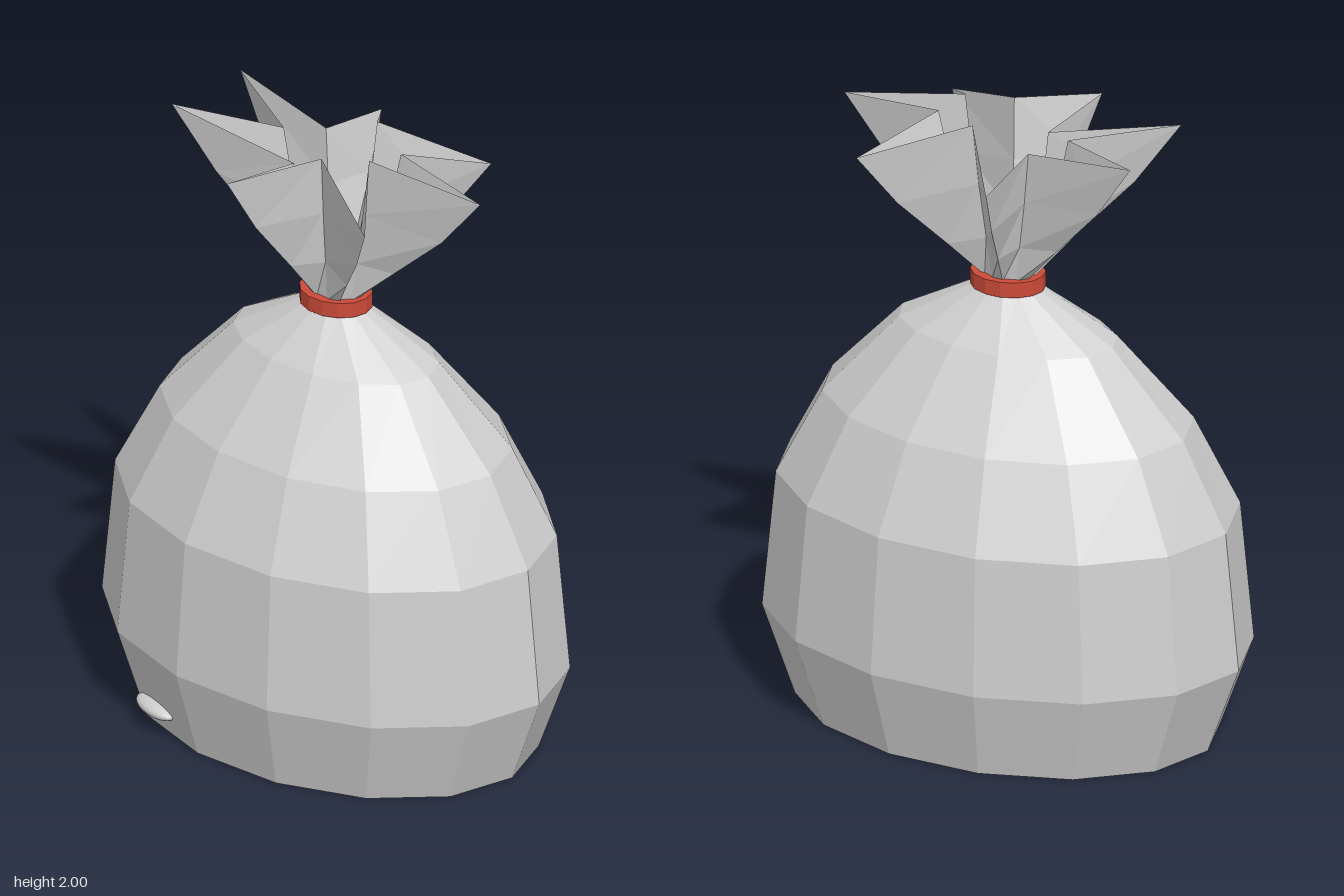
import * as THREE from 'three';

const SIDES = 14;
const TURN = THREE.MathUtils.degToRad(10);

// Skin a stack of closed rings (each an array of [x, y, z]), optionally capping the ends.
function loft(rings, { capBottom = false, capTop = false } = {}) {
  const pos = [];
  const tri = (a, b, c) => pos.push(...a, ...b, ...c);
  for (let i = 0; i < rings.length - 1; i++) {
    const lo = rings[i], hi = rings[i + 1], n = lo.length;
    for (let j = 0; j < n; j++) {
      const k = (j + 1) % n;
      tri(lo[j], hi[j], lo[k]);
      tri(hi[j], hi[k], lo[k]);
    }
  }
  const cap = (ring, up) => {
    for (let j = 1; j < ring.length - 1; j++) {
      if (up) tri(ring[0], ring[j + 1], ring[j]);
      else tri(ring[0], ring[j], ring[j + 1]);
    }
  };
  if (capBottom) cap(rings[0], false);
  if (capTop) cap(rings[rings.length - 1], true);
  const geo = new THREE.BufferGeometry();
  geo.setAttribute('position', new THREE.Float32BufferAttribute(pos, 3));
  geo.computeVertexNormals();
  return geo;
}

// Oval ring of points at height y
const oval = ([y, rx, rz]) => Array.from({ length: SIDES }, (_, i) => {
  const a = (i / SIDES) * Math.PI * 2;
  return [rx * Math.cos(a), y, rz * Math.sin(a)];
});

export function createModel() {
  const group = new THREE.Group();
  const plastic = new THREE.MeshStandardMaterial({ name: 'greyPlastic', color: 0xcfcfcf, flatShading: true });
  const ruffle = new THREE.MeshStandardMaterial({ name: 'greyPlasticRuffle', color: 0xcfcfcf, flatShading: true, side: THREE.DoubleSide });
  const red = new THREE.MeshStandardMaterial({ name: 'redTie', color: 0xcc4a38, flatShading: true });
  const smooth = new THREE.MeshStandardMaterial({ name: 'greySmooth', color: 0xcfcfcf });

  const add = (name, geo, mat) => {
    const mesh = new THREE.Mesh(geo, mat);
    mesh.name = name;
    group.add(mesh);
    return mesh;
  };

  // Faceted sack body: [height, half width, half depth]
  const sack = [
    [0, 0.695, 0.495], [0.29, 0.802, 0.571], [0.74, 0.757, 0.54], [1.02, 0.61, 0.415],
    [1.28, 0.365, 0.22], [1.42, 0.11, 0.08], [1.46, 0.075, 0.06],
  ];
  add('sackBody', loft(sack.map(oval), { capBottom: true, capTop: true }), plastic).rotation.y = TURN;

  // Tie band around the neck, a closed rectangular section
  const band = [
    [1.42, 0.075, 0.06], [1.42, 0.12, 0.102], [1.47, 0.12, 0.102], [1.47, 0.075, 0.058], [1.42, 0.075, 0.06],
  ];
  add('neckTie', loft(band.map(oval)), red).rotation.y = TURN;

  // Gathered top: rim points alternate outer fold tips and inner valleys
  const rim = [
    [0.56, 1.945, -0.10], [0.19, 1.995, 0.03], [0.40, 1.885, 0.23], [0.07, 1.985, 0.12],
    [-0.06, 1.94, 0.39], [-0.07, 1.91, 0.11], [-0.48, 2.0, 0.25], [-0.21, 1.95, 0.03],
    [-0.54, 1.98, -0.08], [-0.15, 1.93, -0.09], [-0.19, 1.89, -0.35], [0.02, 2.0, -0.15],
    [0.30, 1.89, -0.37], [0.20, 1.98, -0.09],
  ];
  const neck = rim.map(([x, , z]) => {
    const a = Math.atan2(z / 0.7, x);
    return [0.088 * Math.cos(a), 1.46, 0.07 * Math.sin(a)];
  });
  // [height fraction, outward fraction]
  const folds = [[0, 0], [0.27, 0.29], [0.62, 0.68], [1, 1]].map(([h, r]) =>
    rim.map((p, i) => {
      const q = neck[i];
      return [q[0] + (p[0] - q[0]) * r, q[1] + (p[1] - q[1]) * h, q[2] + (p[2] - q[2]) * r];
    }));
  add('gatheredTop', loft(folds), ruffle);

  // Small smooth bump low on the front
  const bump = add('frontBump', new THREE.SphereGeometry(1, 20, 12), smooth);
  bump.scale.set(0.095, 0.025, 0.045);
  bump.position.set(-0.275, 0.075, 0.49);
  bump.rotation.y = -TURN;

  return group;
}
